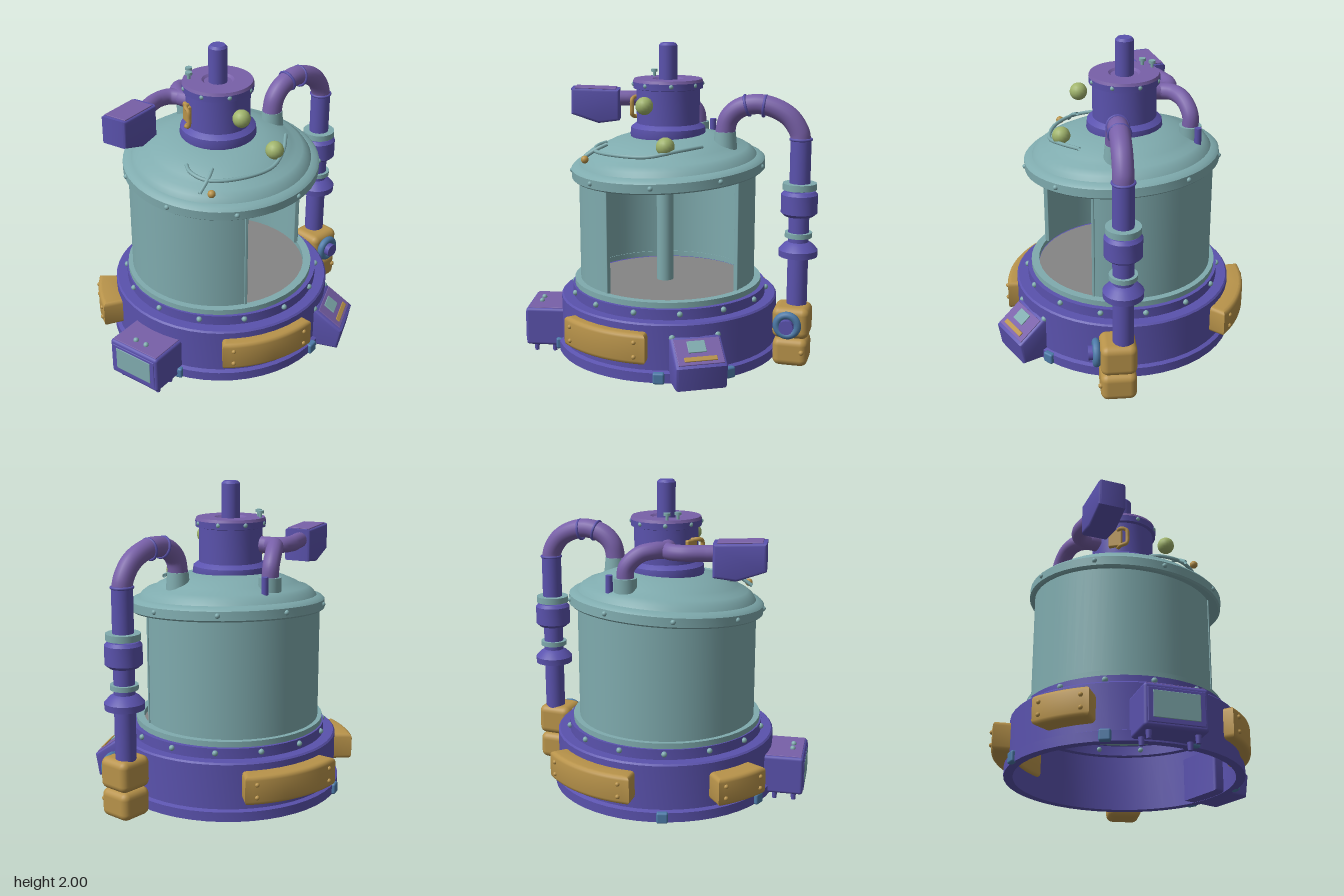
import * as THREE from 'three';
import { toCreasedNormals } from 'three/addons/utils/BufferGeometryUtils.js';
import { RoundedBoxGeometry } from 'three/addons/geometries/RoundedBoxGeometry.js';

const mat = (name, color, side = THREE.FrontSide) => {
  const m = new THREE.MeshStandardMaterial({ color, side });
  m.name = name;
  return m;
};
const V = (x, y, z) => new THREE.Vector3(x, y, z);
const rad = THREE.MathUtils.degToRad;

export function createModel() {
  const indigo = mat('indigo', 0x5a52ad, THREE.DoubleSide);
  const violet = mat('violet', 0x7860a8);
  const teal = mat('teal', 0x7fabae, THREE.DoubleSide);
  const gold = mat('gold', 0xb8934a);
  const green = mat('green', 0xa0b46c);
  const blue = mat('blue', 0x4c7aa8);
  const grey = mat('grey', 0x858585, THREE.DoubleSide);

  const root = new THREE.Group();
  const add = (name, geo, m, x = 0, y = 0, z = 0, parent = root) => {
    const mesh = new THREE.Mesh(geo, m);
    mesh.name = name;
    mesh.position.set(x, y, z);
    parent.add(mesh);
    return mesh;
  };
  const lathe = (pts, n = 48) => toCreasedNormals(
    new THREE.LatheGeometry(pts.map(p => new THREE.Vector2(...p)), n), rad(35));
  // upright cylinder from y0 to y1
  const post = (name, r, y0, y1, m, x, z, r2 = r, n = 24) =>
    add(name, new THREE.CylinderGeometry(r2, r, y1 - y0, n), m, x, (y0 + y1) / 2, z);
  const box = (w, h, d, r = 0.02) => new RoundedBoxGeometry(w, h, d, 3, r);
  const tube = (name, pts, r, m, n = 40, sides = 16) => add(name,
    new THREE.TubeGeometry(new THREE.CatmullRomCurve3(pts), n, r, sides), m);
  const ball = (name, r, m, x, y, z, parent) =>
    add(name, new THREE.SphereGeometry(r, 16, 12), m, x, y, z, parent);
  // group at the base centre whose +z points outward at the given angle
  const outward = (name, deg) => {
    const g = new THREE.Group();
    g.name = name;
    g.position.set(-0.015, 0, 0.015);
    g.rotation.y = rad(deg);
    root.add(g);
    return g;
  };

  // base shell, open underneath
  add('base', lathe([[0.67, 0.4], [0.67, 0.04], [0.725, 0.04], [0.725, 0.1], [0.7, 0.11],
    [0.7, 0.39], [0.69, 0.4], [0.625, 0.4], [0.625, 0.465], [0.55, 0.465]]), indigo, -0.015, 0, 0.015);
  add('floor', new THREE.CircleGeometry(0.57, 48).rotateX(-Math.PI / 2), grey, -0.02, 0.462, 0.025);
  add('wallSeat', lathe([[0.555, 0.46], [0.605, 0.46], [0.605, 0.5], [0.555, 0.5], [0.555, 0.46]]),
    teal, -0.02, 0, 0.025);
  for (let i = 0; i < 14; i++) {
    const a = rad(i * 360 / 14 + 8);
    ball('baseBolt', 0.018, teal, -0.015 + 0.628 * Math.sin(a), 0.437, 0.015 + 0.628 * Math.cos(a));
  }

  // curved chamber wall with an opening
  const wallArc = (r) => new THREE.CylinderGeometry(r, r, 0.75, 48, 1, true, rad(155), rad(269));
  add('chamberWall', wallArc(0.565), teal, -0.03, 0.865, 0.03);
  add('chamberWallInside', wallArc(0.55), teal, -0.03, 0.865, 0.03);
  for (const deg of [64, 155]) {
    const a = rad(deg);
    add('wallEdge', box(0.018, 0.75, 0.03, 0.004), teal,
      -0.03 + 0.557 * Math.sin(a), 0.865, 0.03 + 0.557 * Math.cos(a)).rotation.y = a;
  }

  // inner rod
  post('rod', 0.048, 1.05, 1.45, indigo, -0.03, 0.045);
  post('rodCollar', 0.066, 1.04, 1.075, teal, -0.03, 0.045);
  post('rodSleeve', 0.055, 0.465, 1.04, teal, -0.03, 0.045);

  // tilted lid
  const lid = add('lid', lathe([[0.54, -0.06], [0.605, -0.06], [0.617, -0.05], [0.617, 0.005], [0.6, 0.022],
    [0.565, 0.03], [0.545, 0.06], [0.51, 0.085], [0.47, 0.095], [0.44, 0.115], [0.36, 0.15],
    [0.27, 0.175], [0.18, 0.185], [0, 0.19]], 56), teal, -0.01, 1.25, 0.02);
  lid.rotation.set(0.045, 0, -0.055);
  for (let i = 0; i < 9; i++) {
    const a = rad(i * 40 + 15);
    ball('lidBolt', 0.016, teal, 0.615 * Math.sin(a), -0.02, 0.615 * Math.cos(a), lid);
  }
  // cable lying on the lid
  tube('lidCable', [V(0.27, 1.405, -0.27), V(0.38, 1.385, -0.13), V(0.44, 1.355, 0.03), V(0.4, 1.35, 0.25),
    V(0.28, 1.35, 0.41), V(0.15, 1.365, 0.43), V(0.09, 1.375, 0.4)], 0.012, teal, 40, 8);
  tube('cableSpur', [V(0.25, 1.39, 0.34), V(0.28, 1.36, 0.4), V(0.3, 1.3, 0.49)], 0.012, teal, 12, 8);
  ball('upperLamp', 0.055, green, 0.25, 1.635, 0.1);
  ball('lowerLamp', 0.057, green, 0.37, 1.41, -0.065);
  ball('lidKnob', 0.024, gold, 0.36, 1.307, 0.45);

  // head
  add('head', lathe([[0.235, 1.41], [0.24, 1.43], [0.235, 1.475], [0.215, 1.49], [0.2, 1.5], [0.2, 1.715],
    [0.22, 1.72], [0.222, 1.76]], 32), indigo, -0.03, 0, 0.025);
  add('headCap', lathe([[0.222, 1.76], [0.215, 1.778], [0.1, 1.778], [0.085, 1.765], [0, 1.765]], 32),
    violet, -0.03, 0, 0.025);
  post('mast', 0.058, 1.75, 1.985, indigo, -0.03, 0.025);
  post('mastTip', 0.058, 1.985, 2, indigo, -0.03, 0.025, 0.045);
  for (let i = 0; i < 8; i++) {
    const a = rad(i * 45 + 20);
    ball('headBolt', 0.015, teal, -0.03 + 0.215 * Math.sin(a), 1.745, 0.025 + 0.215 * Math.cos(a));
  }
  for (const [x, z] of [[-0.21, 0.1], [-0.155, 0.15]]) {
    post('pin', 0.01, 1.76, 1.81, teal, x, z, 0.01, 8);
    post('pinHead', 0.022, 1.805, 1.822, teal, x, z, 0.022, 10);
  }
  // handle on the head
  const handle = tube('headHandle', [V(-0.09, 1.53, 0.2), V(-0.075, 1.525, 0.255), V(-0.04, 1.54, 0.265),
    V(-0.035, 1.59, 0.265), V(-0.04, 1.635, 0.265), V(-0.075, 1.65, 0.255), V(-0.1, 1.645, 0.2)], 0.013, gold, 30, 8);
  handle.position.x = 0.005;
  add('handlePlate', box(0.09, 0.12, 0.03, 0.01), gold, -0.1, 1.59, 0.215).rotation.y = -0.35;

  // side arm with its lamp box
  tube('armPipe', [V(-0.43, 1.42, -0.08), V(-0.43, 1.52, -0.07), V(-0.395, 1.595, 0), V(-0.34, 1.615, 0.08),
    V(-0.27, 1.61, 0.12), V(-0.19, 1.61, 0.1)], 0.052, violet);
  tube('armBranch', [V(-0.24, 1.61, 0.11), V(-0.32, 1.61, 0.16), V(-0.335, 1.61, 0.25), V(-0.29, 1.61, 0.38),
    V(-0.26, 1.61, 0.46)], 0.05, violet);
  post('armCollar', 0.07, 1.36, 1.455, teal, -0.43, -0.08);
  post('armStub', 0.022, 1.35, 1.47, indigo, -0.465, -0.17, 0.022, 10);
  const side = new THREE.Shape([[-0.14, 1.66], [-0.14, 1.49], [-0.02, 1.475], [0.14, 1.53], [0.14, 1.67]]
    .map(p => new THREE.Vector2(...p)));
  const lampGeo = new THREE.ExtrudeGeometry(side, {
    depth: 0.14, bevelSize: 0.018, bevelThickness: 0.018, bevelSegments: 3 });
  lampGeo.translate(0, 0, -0.07).rotateY(-Math.PI / 2);
  add('lampBox', toCreasedNormals(lampGeo, rad(35)), indigo, -0.22, 0, 0.57).rotation.y = rad(14);
  add('lampBoxTop', box(0.15, 0.008, 0.27, 0.003), violet, -0.22, 1.685, 0.57).rotation.set(-0.035, rad(14), 0);

  // rear pipe arching over the lid
  post('rearPipe', 0.064, 0.36, 1.44, indigo, 0.06, -0.835);
  tube('pipeArch', [V(0.06, 1.42, -0.835), V(0.06, 1.48, -0.825), V(0.06, 1.57, -0.765), V(0.06, 1.625, -0.67),
    V(0.06, 1.645, -0.56), V(0.06, 1.615, -0.45), V(0.06, 1.55, -0.385), V(0.06, 1.44, -0.36)], 0.062, violet, 48, 20);
  for (const [y, z, tilt] of [[1.635, -0.61, 1.45], [1.635, -0.5, 1.85], [1.44, -0.835, 0]]) {
    const ring = add('archRing', new THREE.TorusGeometry(0.063, 0.009, 8, 24).rotateX(Math.PI / 2), indigo, 0.06, y, z);
    ring.rotation.x = tilt;
  }
  post('lidSocket', 0.075, 1.36, 1.47, teal, 0.06, -0.365, 0.065);
  add('pipeCoupling', lathe([[0, 0.965], [0.09, 0.965], [0.113, 0.985], [0.113, 1.1], [0.095, 1.12], [0, 1.12]], 28),
    indigo, 0.06, 0, -0.835);
  post('couplingRing', 0.105, 1.13, 1.17, teal, 0.06, -0.835);
  post('pipeRing', 0.085, 0.83, 0.86, teal, 0.06, -0.835);
  add('pipeFlange', lathe([[0, 0.71], [0.12, 0.71], [0.122, 0.75], [0.09, 0.785], [0.064, 0.8]], 28),
    indigo, 0.06, 0, -0.835);
  add('valveBody', box(0.22, 0.2, 0.23, 0.045), gold, 0.09, 0.3, -0.815);
  add('valveFoot', box(0.22, 0.18, 0.22, 0.045), gold, 0.09, 0.11, -0.815);
  add('valvePort', new THREE.TorusGeometry(0.065, 0.024, 12, 28).rotateY(Math.PI / 2), blue, 0.22, 0.3, -0.8);
  add('portCore', new THREE.CylinderGeometry(0.055, 0.055, 0.05, 20).rotateZ(Math.PI / 2), teal, 0.2, 0.3, -0.8);
  add('valveKnob', new THREE.CylinderGeometry(0.045, 0.045, 0.07, 16).rotateZ(Math.PI / 2), indigo, 0.235, 0.3, -0.8);
  add('drainHose', new THREE.TorusGeometry(0.05, 0.02, 8, 20, Math.PI), indigo, 0.1, 0.04, -0.73).rotation.y = Math.PI / 2;
  ball('valveScrew', 0.016, gold, 0.2, 0.12, -0.89);

  // curved gold pads around the base
  const pad = (from, to, rOut, y0, y1) => {
    const g = outward('basePad', (from + to) / 2);
    const half = rad((to - from) / 2) - 0.03;
    const s = new THREE.Shape();
    s.absarc(0, 0, rOut - 0.025, -Math.PI / 2 - half, -Math.PI / 2 + half, false);
    s.absarc(0, 0, 0.68, -Math.PI / 2 + half, -Math.PI / 2 - half, true);
    const geo = new THREE.ExtrudeGeometry(s, { depth: y1 - y0 - 0.05, bevelSize: 0.025,
      bevelThickness: 0.025, bevelSegments: 3, curveSegments: 14 });
    geo.rotateX(-Math.PI / 2);
    add('pad', toCreasedNormals(geo, rad(35)), gold, 0, y0 + 0.025, 0, g);
    for (const sx of [-1, 1]) for (const y of [y0 + 0.05, y1 - 0.05])
      ball('padScrew', 0.014, gold, sx * rOut * Math.sin(half * 0.85), y, rOut * Math.cos(half * 0.85), g);
  };
  pad(47, 94, 0.765, 0.16, 0.35);
  pad(-132, -84, 0.805, 0.17, 0.35);
  pad(-46, -21, 0.825, 0.155, 0.33);

  // front monitor
  const monitor = outward('monitor', 10);
  add('monitorCase', box(0.37, 0.25, 0.29, 0.02), indigo, 0, 0.175, 0.775, monitor);
  add('monitorTop', box(0.34, 0.008, 0.26, 0.003), violet, 0, 0.3, 0.775, monitor);
  add('monitorBezel', box(0.33, 0.2, 0.012, 0.005), indigo, 0, 0.175, 0.918, monitor);
  add('monitorScreen', box(0.27, 0.155, 0.009, 0.004), teal, 0, 0.18, 0.922, monitor);
  for (const x of [-0.14, 0.14]) for (const z of [0.74, 0.86])
    add('monitorFoot', new THREE.CylinderGeometry(0.018, 0.014, 0.05, 10), indigo, x, 0.028, z, monitor);
  for (const x of [-0.04, 0.04]) ball('monitorBolt', 0.017, teal, x, 0.308, 0.84, monitor);

  // sloped console on the left flank
  const desk = outward('console', 118);
  const profile = new THREE.Shape([[-0.6, 0.06], [-0.83, 0.06], [-0.85, 0.18], [-0.69, 0.3], [-0.6, 0.3]]
    .map(p => new THREE.Vector2(...p)));
  const deskGeo = new THREE.ExtrudeGeometry(profile, { depth: 0.28, bevelSize: 0.018, bevelThickness: 0.018, bevelSegments: 3 });
  deskGeo.translate(0, 0, -0.14).rotateY(Math.PI / 2);
  add('consoleCase', toCreasedNormals(deskGeo, rad(35)), indigo, 0, 0, 0, desk);
  const face = new THREE.Group();
  face.name = 'consoleFace';
  face.position.set(0, 0.256, 0.782);
  face.rotation.x = Math.atan2(0.12, 0.16);
  desk.add(face);
  add('consolePanel', box(0.28, 0.008, 0.18, 0.003), violet, 0, 0, 0, face);
  add('consoleScreen', box(0.11, 0.009, 0.08, 0.003), teal, -0.01, 0.007, -0.03, face);
  add('consoleStrip', box(0.2, 0.009, 0.03, 0.003), gold, 0, 0.007, 0.055, face);
  for (const x of [-0.14, 0.14]) ball('consoleBolt', 0.02, teal, x, 0.315, 0.68, desk);

  // studs on the lower flange
  for (const deg of [-16, 24, 100, 135, -70]) {
    const g = outward('flangeStud', deg);
    add('stud', box(0.07, 0.07, 0.04, 0.012), blue, 0, 0.072, 0.725, g);
  }
  return root;
}
